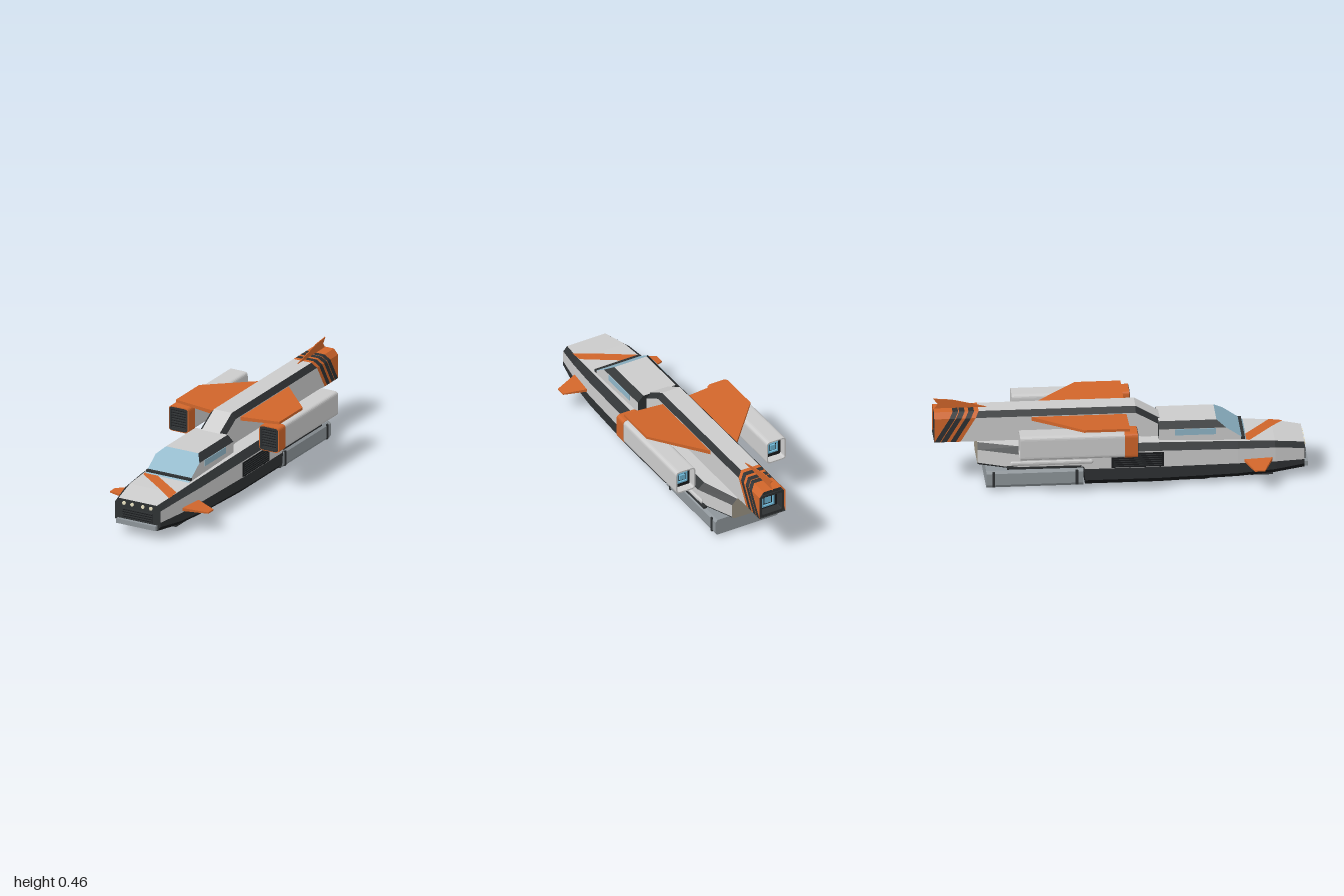
import * as THREE from 'three';

const WHITE = 0xcccccc, DARK = 0x2e3133, BLACK = 0x181a1c, ORANGE = 0xd0652a,
  GLASS = 0x8fb6c8, TEAL = 0x2b6670, BLUE = 0x6fb8d8, STEEL = 0x8e959a, BEIGE = 0x9c9484, CREAM = 0xe8e0c0;

const materials = {};
const mat = (color) => (materials[color] ??= new THREE.MeshStandardMaterial({ color, flatShading: true, side: THREE.DoubleSide }));

export function createModel() {
  const model = new THREE.Group();

  const add = (name, geometry, color, x = 0, y = 0, z = 0) => {
    const mesh = new THREE.Mesh(geometry, mat(color));
    mesh.name = name;
    mesh.position.set(x, y, z);
    model.add(mesh);
    return mesh;
  };
  const box = (name, color, w, h, d, x, y, z) => add(name, new THREE.BoxGeometry(w, h, d), color, x, y, z);

  const triangles = (points) => {
    const g = new THREE.BufferGeometry();
    g.setAttribute('position', new THREE.Float32BufferAttribute(points.flat(), 3));
    g.computeVertexNormals();
    return g;
  };

  // Skin over half-sections (top to bottom, +x side), mirrored; one mesh per colour.
  // colors: [top, each side band..., bottom]
  const loft = (name, halves, colors, frontCap, backCap) => {
    const rings = halves.map((h) => [...h, ...h.map(([x, y, z]) => [-x, y, z]).reverse()]);
    const n = rings[0].length, m = n / 2, byColor = new Map();
    const put = (color, ...pts) => byColor.set(color, [...(byColor.get(color) ?? []), ...pts]);
    for (let k = 0; k + 1 < rings.length; k++) {
      for (let i = 0; i < n; i++) {
        const j = (i + 1) % n, color = colors[i < m ? i + 1 : (n - 1 - i)];
        const [a, b, c, d] = [rings[k][i], rings[k][j], rings[k + 1][i], rings[k + 1][j]];
        put(color, a, b, c, b, d, c);
      }
    }
    const first = rings[0], last = rings.at(-1);
    for (let i = 1; i + 1 < n; i++) {
      if (frontCap) put(frontCap, first[0], first[i + 1], first[i]);
      if (backCap) put(backCap, last[0], last[i], last[i + 1]);
    }
    const group = new THREE.Group();
    group.name = name;
    for (const [color, pts] of byColor) {
      const mesh = new THREE.Mesh(triangles(pts), mat(color));
      mesh.name = name + 'Panels';
      group.add(mesh);
    }
    model.add(group);
  };

  // Flat wing from a plan outline [x, z], with height and thickness as functions of span
  const wing = (name, plan, side, height, thickness) => {
    const shape = new THREE.Shape(plan.map(([x, z]) => new THREE.Vector2(x * side, -z)));
    const g = new THREE.ExtrudeGeometry(shape, { depth: 1, bevelEnabled: false });
    const p = g.attributes.position;
    for (let i = 0; i < p.count; i++) {
      const x = p.getX(i), span = Math.abs(x);
      p.setXYZ(i, x, height(span) + (p.getZ(i) - 0.5) * thickness(span), -p.getY(i));
    }
    g.computeVertexNormals();
    add(name, g, ORANGE);
  };

  const roundedRect = (Type, w, h, r) => {
    const s = new Type(), a = w / 2, b = h / 2;
    s.moveTo(-a + r, -b);
    s.lineTo(a - r, -b); s.quadraticCurveTo(a, -b, a, -b + r);
    s.lineTo(a, b - r); s.quadraticCurveTo(a, b, a - r, b);
    s.lineTo(-a + r, b); s.quadraticCurveTo(-a, b, -a, b - r);
    s.lineTo(-a, -b + r); s.quadraticCurveTo(-a, -b, -a + r, -b);
    return s;
  };
  const tube = (w, h, r, wall, depth) => {
    const shape = roundedRect(THREE.Shape, w, h, r);
    shape.holes.push(roundedRect(THREE.Path, w - 2 * wall, h - 2 * wall, r * 0.6));
    return new THREE.ExtrudeGeometry(shape, { depth, bevelEnabled: false, curveSegments: 5 });
  };

  // Recessed thruster: dark back plate, glowing frame and core
  const thruster = (x, y, z, w, h) => {
    box('thrusterPlate', BLACK, w, h, 0.01, x, y, z);
    add('thrusterFrame', tube(w * 0.62, w * 0.62, 0.004, w * 0.07, 0.012), BLUE, x, y, z - 0.016);
    box('thrusterCore', BLUE, w * 0.3, w * 0.3, 0.012, x, y, z - 0.008);
  };

  // Hull: z, top half width, top y, side half width, shoulder y, belt y, low y, bottom half width, bottom y
  const hull = [
    [0.98, 0.118, 0.192, 0.142, 0.165, 0.1, 0.075, 0.12, 0.048],
    [0.82, 0.142, 0.213, 0.172, 0.186, 0.105, 0.06, 0.14, 0.03],
    [0.62, 0.15, 0.223, 0.188, 0.193, 0.108, 0.05, 0.155, 0.02],
    [0.2, 0.162, 0.235, 0.203, 0.203, 0.11, 0.045, 0.17, 0.012],
    [-0.2, 0.162, 0.237, 0.203, 0.205, 0.11, 0.045, 0.17, 0.012],
    [-0.21, 0.162, 0.237, 0.203, 0.205, 0.125, 0.12, 0.17, 0.108],
    [-0.55, 0.16, 0.237, 0.2, 0.205, 0.125, 0.12, 0.17, 0.108],
    [-0.77, 0.085, 0.237, 0.115, 0.205, 0.13, 0.125, 0.1, 0.115],
  ];
  loft('hull', hull.map(([z, wt, yt, ws, yu, ym, yl, wb, yb]) =>
    [[wt, yt, z], [ws, yu, z], [ws, ym, z], [ws, yl, z], [wb, yb, z]]),
  [WHITE, DARK, WHITE, DARK, BLACK, BLACK], DARK, BEIGE);

  // Diagonal stripe lying on the nose deck
  const deckY = (z) => (z > 0.82 ? 0.213 - (z - 0.82) * 0.131 : 0.213 + (0.82 - z) * 0.05) + 0.0025;
  const stripe = [];
  for (let i = 0; i < 12; i++) {
    const at = (t, w) => {
      const z = Math.max(0.65, 0.61 + t * 0.2 + w);
      return [-0.14 + t * 0.28, deckY(z), z];
    };
    const a = at(i / 12, 0), b = at(i / 12, 0.075), c = at((i + 1) / 12, 0), d = at((i + 1) / 12, 0.075);
    stripe.push(a, b, c, b, d, c);
  }
  add('noseStripe', triangles(stripe), ORANGE);

  // Nose: bumper, grille and headlights
  box('bumper', STEEL, 0.245, 0.026, 0.04, 0, 0.067, 0.98);
  box('noseGrille', BLACK, 0.185, 0.06, 0.006, 0, 0.112, 0.981);
  for (let i = 0; i < 5; i++) box('noseSlat', DARK, 0.185, 0.006, 0.006, 0, 0.088 + i * 0.013, 0.985);
  for (const x of [-0.083, -0.033, 0.033, 0.083]) {
    const geometry = new THREE.CylinderGeometry(0.01, 0.01, 0.01, 16).rotateX(Math.PI / 2);
    add('headlight', geometry, CREAM, x, 0.17, 0.982);
  }

  // Cabin with raked windscreen
  const cabin = (zOf) => [[0.1, 0.33], [0.135, 0.297], [0.135, 0.222]].map(([x, y]) => [x, y, zOf(y)]);
  loft('cabin', [cabin((y) => 0.65 - (y - 0.235) * 1.47), cabin(() => 0.2)],
    [WHITE, DARK, WHITE, DARK], GLASS, DARK);
  box('windscreenSill', DARK, 0.272, 0.014, 0.02, 0, 0.233, 0.65);

  // Dorsal spine, sloping up from the cabin roof, with a banded tail
  const spine = (z, slant = 0, drop = 0) =>
    [[0.055, 0.405 - drop], [0.08, 0.375 - drop], [0.08, drop ? 0.225 : 0.24]]
      .map(([x, y]) => [x, y, z - slant * (0.405 - drop - y)]);
  loft('spine', [spine(0.21, 0, 0.075), spine(0.08), spine(-0.76, 0.6)], [WHITE, DARK, WHITE, DARK], WHITE);
  const bands = [-0.76, -0.785, -0.815, -0.835, -0.865, -0.87, -0.9];
  bands.forEach((z, i) => {
    if (i === bands.length - 1) return;
    const color = i % 2 ? DARK : ORANGE;
    loft('tailBand', [spine(z, 0.6), spine(bands[i + 1], 0.6)], [color, color, color, DARK]);
  });
  loft('tailEnd', [spine(-0.9, 0.6), spine(-1)], [ORANGE, ORANGE, ORANGE, DARK]);
  add('tailNozzle', tube(0.15, 0.135, 0.012, 0.014, 0.1), DARK, 0, 0.31, -0.995);
  box('tailNozzleTop', DARK, 0.11, 0.03, 0.05, 0, 0.388, -0.965);
  thruster(0, 0.31, -0.94, 0.125, 0.11);

  // Tail fin
  const finOutline = [[-0.69, 0.4], [-0.9, 0.452], [-1, 0.461], [-0.975, 0.43], [-1, 0.4]];
  const finShape = new THREE.Shape(finOutline.map(([z, y]) => new THREE.Vector2(-z, y)));
  add('tailFin', new THREE.ExtrudeGeometry(finShape, { depth: 0.005, bevelEnabled: false }).rotateY(Math.PI / 2), ORANGE, -0.0025);

  // Cargo module under the rear hull
  loft('cargoModule', [-0.21, -0.73].map((z) => [[0.18, 0.108, z], [0.195, 0.095, z], [0.195, 0.03, z], [0.185, 0.014, z]]),
    [STEEL, STEEL, STEEL, STEEL, BLACK], DARK, STEEL);
  box('bellyPanel', TEAL, 0.14, 0.006, 0.13, 0, 0.011, 0.03);

  for (const s of [1, -1]) {
    // Main wing and nose canard
    wing('wing', [[0.07, 0.03], [0.07, -0.49], [0.32, -0.215], [0.32, 0.03]], s,
      (x) => 0.36 + (x - 0.08) * 0.092, (x) => 0.024 - x * 0.03);
    wing('canard', [[0.16, 0.645], [0.305, 0.7], [0.305, 0.755], [0.16, 0.81]], s,
      (x) => 0.122 - (x - 0.18) * 0.09, (x) => 0.03 - x * 0.075);

    // Engine pod: shell, coloured cowl, front slats, rear thruster and strut
    const px = 0.28 * s, py = 0.296;
    add('enginePod', tube(0.118, 0.138, 0.022, 0.008, 0.56), WHITE, px, py, -0.56);
    add('engineCowl', tube(0.122, 0.142, 0.022, 0.01, 0.07), ORANGE, px, py, 0);
    add('engineIntakeFrame', tube(0.112, 0.132, 0.018, 0.01, 0.02), DARK, px, py, 0.053);
    box('engineIntake', BLACK, 0.104, 0.124, 0.01, px, py, 0.05);
    for (let i = 0; i < 8; i++) box('engineSlat', DARK, 0.096, 0.005, 0.014, px, py - 0.052 + i * 0.015, 0.06);
    thruster(px, py, -0.51, 0.1, 0.12);
    const strut = box('podStrut', DARK, 0.16, 0.007, 0.05, 0.155 * s, 0.343, -0.1);
    strut.rotation.z = 0.17 * s;

    // Cabin side window
    box('sideWindow', GLASS, 0.006, 0.035, 0.22, 0.135 * s, 0.278, 0.395);

    // Side vent
    box('sideVent', BLACK, 0.008, 0.082, 0.28, 0.202 * s, 0.155, 0.08);
    for (let i = 0; i < 6; i++) box('ventSlat', DARK, 0.01, 0.004, 0.26, 0.203 * s, 0.125 + i * 0.012, 0.08);

    // Long side fairing over a dark rail
    const fairing = new THREE.CapsuleGeometry(0.013, 0.42, 4, 10).rotateX(Math.PI / 2).scale(0.6, 1, 1);
    add('sideFairing', fairing, WHITE, 0.202 * s, 0.155, -0.38);
    box('sideRail', DARK, 0.02, 0.012, 0.4, 0.194 * s, 0.128, -0.42);

    // Cargo straps and clamps
    for (const z of [-0.245, -0.69]) box('cargoStrap', DARK, 0.008, 0.085, 0.014, 0.194 * s, 0.062, z);

    // Landing pads with lift panels
    for (const [z, y] of [[0.75, 0.022], [0.4, 0.008], [-0.31, 0.006], [-0.61, 0.006]]) {
      box('landingPad', DARK, 0.065, 0.012, 0.12, 0.105 * s, y, z);
      for (const dz of [-0.03, 0, 0.03]) box('liftPanel', TEAL, 0.05, 0.003, 0.026, 0.105 * s, y - 0.0055, z + dz);
    }
  }
  return model;
}
